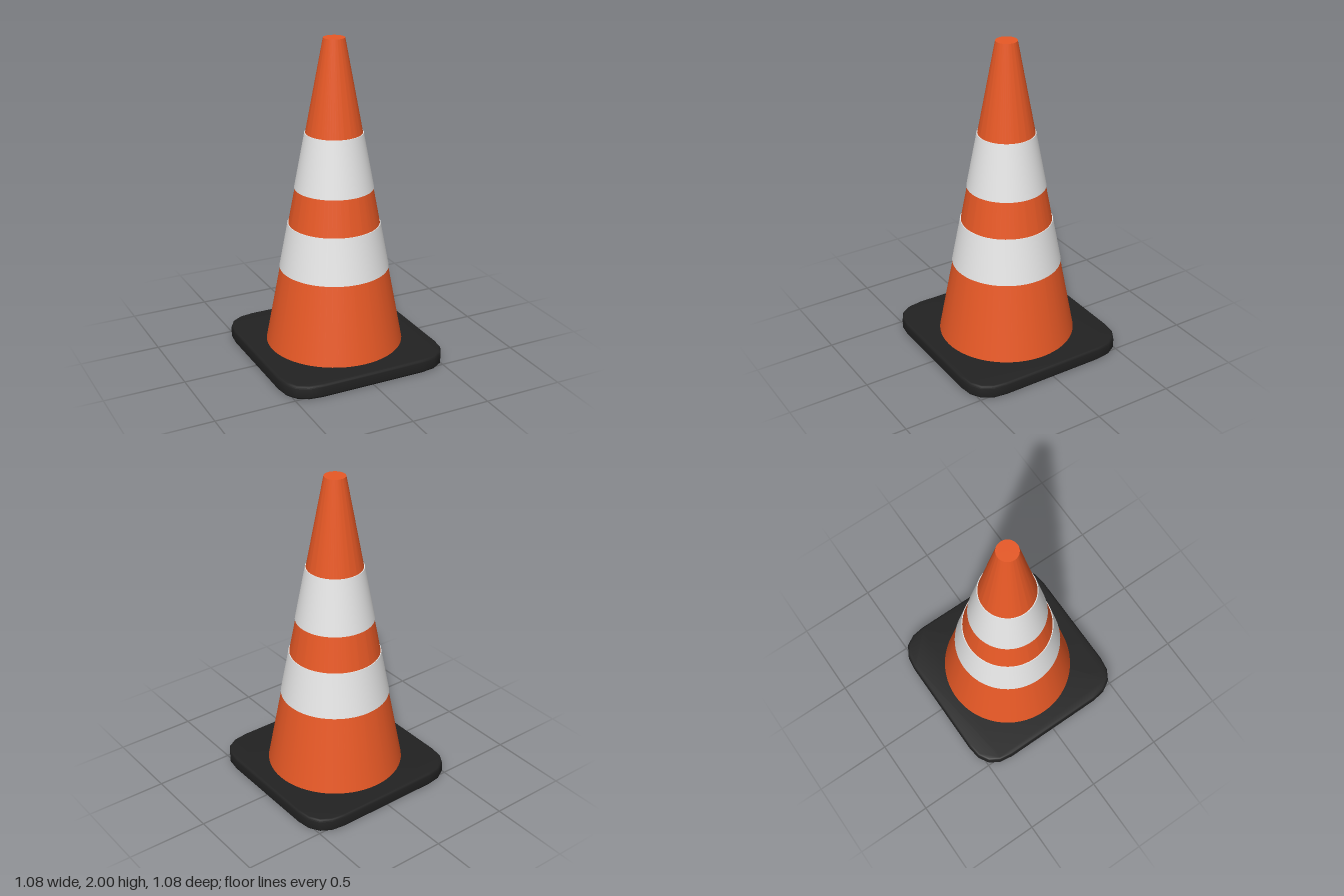
import * as THREE from 'three';
import { toCreasedNormals } from 'three/addons/utils/BufferGeometryUtils.js';

const SEGMENTS = 64;
const BASE_TOP = 0.085, TOP = 2;

// Radius of the cone at a given height
const radiusAt = (y) => THREE.MathUtils.mapLinear(y, BASE_TOP, TOP, 0.425, 0.065);

function lathe(points) {
  const profile = points.map(([r, y]) => new THREE.Vector2(r, y));
  return toCreasedNormals(new THREE.LatheGeometry(profile, SEGMENTS), 0.6);
}

// Square slab with curved corners and softened edges
function baseGeometry() {
  const bevel = 0.015, h = 0.54 - bevel, c = 0.335;
  const shape = new THREE.Shape();
  shape.moveTo(-c, -h);
  shape.lineTo(c, -h);
  shape.quadraticCurveTo(h, -h, h, -c);
  shape.lineTo(h, c);
  shape.quadraticCurveTo(h, h, c, h);
  shape.lineTo(-c, h);
  shape.quadraticCurveTo(-h, h, -h, c);
  shape.lineTo(-h, -c);
  shape.quadraticCurveTo(-h, -h, -c, -h);
  const geometry = new THREE.ExtrudeGeometry(shape, {
    depth: BASE_TOP - 2 * bevel, curveSegments: 4,
    bevelSize: bevel, bevelThickness: bevel, bevelSegments: 3,
  });
  geometry.rotateX(-Math.PI / 2).translate(0, bevel, 0);
  return toCreasedNormals(geometry, 0.7);
}

export function createModel() {
  const orange = new THREE.MeshStandardMaterial({ color: 0xe85926 });
  orange.name = 'orange plastic';
  const white = new THREE.MeshStandardMaterial({ color: 0xe6e6e6 });
  white.name = 'white band';
  const black = new THREE.MeshStandardMaterial({ color: 0x222222 });
  black.name = 'black rubber';

  const group = new THREE.Group();
  group.name = 'trafficCone';
  const add = (name, geometry, material) => {
    const mesh = new THREE.Mesh(geometry, material);
    mesh.name = name;
    group.add(mesh);
  };

  add('base', baseGeometry(), black);

  // Tapered body with a flat closed tip
  add('coneBody', lathe([
    [radiusAt(0.06), 0.06], [radiusAt(TOP), TOP], [0, TOP],
  ]), orange);

  // Thin reflective sleeves, slightly proud of the body
  const bands = { lowerBand: [0.575, 0.86], upperBand: [1.085, 1.43] };
  for (const [name, [y0, y1]] of Object.entries(bands)) {
    const r0 = radiusAt(y0), r1 = radiusAt(y1), proud = 0.005;
    add(name, lathe([[r0, y0], [r0 + proud, y0], [r1 + proud, y1], [r1, y1]]), white);
  }
  return group;
}
